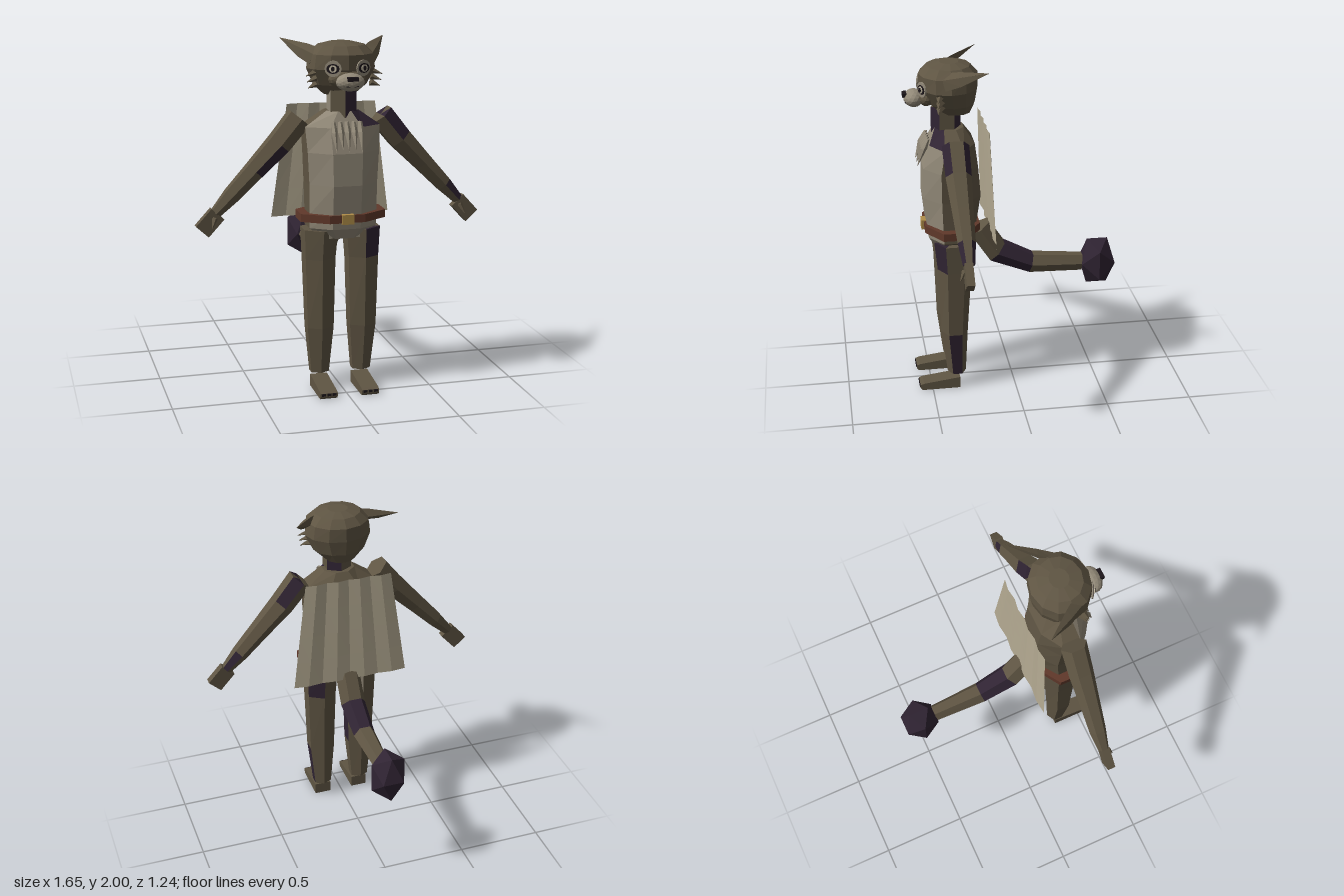
import * as THREE from 'three';

const mat = (name, color, extra = {}) => {
  const m = new THREE.MeshStandardMaterial({ color, flatShading: true, ...extra });
  m.name = name;
  return m;
};

export function createModel() {
  const root = new THREE.Group();
  const fur = mat('fur', 0x5f5543);
  const patch = mat('dark patch', 0x302433);
  const pale = mat('pale fur', 0x938a79);
  const cloth = mat('cape cloth', 0xb3a991, { side: THREE.DoubleSide });
  const leather = mat('belt leather', 0x60382a);
  const brass = mat('brass', 0xb08d48);
  const black = mat('black', 0x1c161a);
  const eyeLight = mat('eye light', 0xc4bba4);
  const V = (x, y, z) => new THREE.Vector3(x, y, z);

  function add(name, geo, material, x = 0, y = 0, z = 0) {
    const mesh = new THREE.Mesh(geo, material);
    mesh.name = name;
    mesh.position.set(x, y, z);
    root.add(mesh);
    return mesh;
  }

  // Faceted tube through rings [x, y, z, radius along ref, radius across].
  // paint(segment, face) gives 0 fur, 1 dark patch, 2 pale fur.
  function loft(name, rings, ref, sides, paint = () => 0, offset = 0, mats = [fur, patch, pale]) {
    const centres = rings.map(r => V(r[0], r[1], r[2]));
    const loops = rings.map((r, i) => {
      const t = centres[Math.min(i + 1, rings.length - 1)].clone()
        .sub(centres[Math.max(i - 1, 0)]).normalize();
      const across = t.clone().cross(ref).normalize();
      return Array.from({ length: sides }, (_, j) => {
        const a = (j + offset) / sides * Math.PI * 2;
        return centres[i].clone().addScaledVector(ref, Math.cos(a) * r[3])
          .addScaledVector(across, Math.sin(a) * (r[4] ?? r[3]));
      });
    });
    const pos = [], geo = new THREE.BufferGeometry();
    const tri = (a, b, c, m) => {
      geo.addGroup(pos.length / 3, 3, m);
      for (const p of [a, b, c]) pos.push(p.x, p.y, p.z);
    };
    const last = rings.length - 1;
    for (let j = 0; j < sides; j++) {
      const k = (j + 1) % sides;
      for (let i = 0; i < last; i++) {
        const m = paint(i, j), lo = loops[i], hi = loops[i + 1];
        tri(lo[j], lo[k], hi[k], m);
        tri(lo[j], hi[k], hi[j], m);
      }
      tri(centres[0], loops[0][k], loops[0][j], paint(0, j));
      tri(centres[last], loops[last][j], loops[last][k], paint(last - 1, j));
    }
    geo.setAttribute('position', new THREE.Float32BufferAttribute(pos, 3));
    geo.computeVertexNormals();
    return add(name, geo, mats);
  }

  const X = V(1, 0, 0), Z = V(0, 0, 1);

  // Torso: pale front panels, furry sides and back
  loft('torso', [
    [0, 0.90, 0.36, 0.11, 0.13], [0, 0.96, 0.36, 0.145, 0.21], [0, 1.04, 0.36, 0.155, 0.21],
    [0, 1.21, 0.355, 0.18, 0.212], [0, 1.39, 0.36, 0.17, 0.222], [0, 1.53, 0.35, 0.14, 0.232],
    [0, 1.615, 0.36, 0.09, 0.1],
  ], Z, 8, (i, j) => (i === 5 && j === 0 ? 1 : j === 0 || j >= 6 ? 2 : 0), 0.5);
  add('pelvis front', new THREE.BoxGeometry(0.18, 0.09, 0.12), pale, 0, 0.945, 0.39);

  // Neck and head
  loft('neck', [[0, 1.58, 0.375, 0.085], [0, 1.73, 0.375, 0.085]], Z, 6,
    (i, j) => (j === 0 || j === 2 ? 1 : j === 4 ? 2 : 0));
  loft('head', [
    [0, 1.70, 0.32, 0.09, 0.09], [0, 1.76, 0.34, 0.135, 0.155], [0, 1.85, 0.357, 0.168, 0.197],
    [0, 1.93, 0.358, 0.168, 0.185], [0, 1.975, 0.355, 0.125, 0.135], [0, 1.993, 0.35, 0.055, 0.06],
  ], Z, 12);

  // Muzzle, nose and mouth
  const ball = (x, y, z) => new THREE.IcosahedronGeometry(1, 2).scale(x, y, z);
  add('muzzle base', ball(0.105, 0.055, 0.05), fur, 0, 1.80, 0.485);
  add('muzzle', ball(0.08, 0.05, 0.058), pale, 0, 1.79, 0.553);
  add('nose', new THREE.BoxGeometry(0.06, 0.022, 0.025), black, 0, 1.812, 0.605);
  add('mouth', new THREE.BoxGeometry(0.07, 0.006, 0.008), black, 0, 1.772, 0.6);

  // Hind tail with a dark band and dark tuft
  loft('tail', [
    [0, 0.98, 0.19, 0.075], [0, 0.82, 0.085, 0.075, 0.078], [0, 0.728, -0.12, 0.065],
    [0, 0.71, -0.43, 0.05, 0.056],
  ], X, 6, i => (i === 1 ? 1 : 0));
  add('tail tuft', new THREE.IcosahedronGeometry(1, 0).rotateY(Math.PI / 2)
    .scale(0.117, 0.169, 0.117), patch, 0, 0.71, -0.524);

  // Belt and buckle
  add('belt', new THREE.CylinderGeometry(1, 1, 0.045, 8).rotateY(Math.PI / 8)
    .scale(0.265, 1, 0.172), leather, 0, 1.023, 0.357);
  add('buckle', new THREE.BoxGeometry(0.068, 0.055, 0.03), brass, 0, 1.023, 0.517);

  // Cape: a flared, lightly pleated sheet
  const cape = new THREE.PlaneGeometry(2, 1, 8, 4);
  const p = cape.attributes.position;
  for (let i = 0; i < p.count; i++) {
    const u = p.getX(i), t = p.getY(i) + 0.5;
    const pleat = Math.cos(u * Math.PI * 4) * 0.005;
    p.setXYZ(i, u * (0.35 - 0.09 * t), 0.97 + 0.655 * t, 0.13 + 0.024 * t + pleat);
  }
  cape.computeVertexNormals();
  add('cape', cape, cloth);

  // Chest ruff of pointed tufts
  for (let i = -2; i <= 2; i++) {
    const drop = i % 2 ? 1.42 : 1.405;
    loft('chest tuft', [[i * 0.038, 1.565, 0.485, 0.01, 0.012],
      [i * 0.038, 1.51, 0.51, 0.02, 0.018], [i * 0.036, drop, 0.548, 0.001]], Z, 4, () => 2);
  }

  for (const s of [1, -1]) {
    const side = s > 0 ? 'left' : 'right';

    // Ears sweep out and back
    loft(side + ' ear', [
      [s * 0.15, 1.915, 0.39, 0.055, 0.03], [s * 0.205, 1.945, 0.31, 0.045, 0.022],
      [s * 0.3, 2.0, 0.165, 0.001],
    ], V(s * 0.66, -0.75, 0), 4);

    // Cheek tufts
    for (let i = 0; i < 3; i++) {
      const y = 1.835 - i * 0.033;
      loft(side + ' cheek tuft', [[s * 0.155, y, 0.415, 0.026, 0.02],
        [s * (0.217 - i * 0.006), y - 0.02, 0.435, 0.001]], Z, 4);
    }

    // Eyes from stacked thin discs
    const eye = new THREE.Group();
    eye.name = side + ' eye';
    eye.position.set(s * 0.085, 1.86, 0.512);
    eye.rotation.y = s * 0.4;
    [[0.047, 0.045, pale], [0.036, 0.027, black], [0.021, 0.02, eyeLight], [0.01, 0.013, black]]
      .forEach(([rx, ry, m], i) => {
        const disc = new THREE.Mesh(new THREE.CylinderGeometry(1, 1, 0.008, 12)
          .rotateX(Math.PI / 2).scale(rx, ry, 1), m);
        disc.name = ['eye patch', 'eyelid', 'iris', 'pupil'][i];
        disc.position.z = i * 0.004;
        eye.add(disc);
      });
    root.add(eye);

    // Arms
    const armPaint = s > 0
      ? (i, j) => ((i === 0 || i === 3) && (j === 3 || j === 5) ? 1 : 0)
      : (i, j) => (i === 1 && j === 5 ? 1 : 0);
    loft(side + ' arm', [
      [s * 0.235, 1.575, 0.347, 0.077], [s * 0.35, 1.435, 0.345, 0.073],
      [s * 0.49, 1.29, 0.342, 0.06], [s * 0.62, 1.155, 0.338, 0.05], [s * 0.71, 1.06, 0.338, 0.033],
    ], Z, 6, armPaint);

    // Hands with a small thumb
    const hand = add(side + ' hand', new THREE.BoxGeometry(0.095, 0.13, 0.046), fur, s * 0.745, 1.01, 0.342);
    hand.rotation.z = s * 0.74;
    loft(side + ' thumb', [[s * 0.715, 1.04, 0.36, 0.018], [s * 0.738, 0.985, 0.388, 0.003]], Z, 4);

    // Legs
    const legPaint = s > 0
      ? (i, j) => ((i === 0 && j === 1) || (i === 2 && (j === 0 || j === 2)) ? 1 : 0)
      : (i, j) => (i === 1 && j === 1 ? 1 : i === 2 && j === 2 ? 2 : 0);
    loft(side + ' leg', [
      [s * 0.123, 0.095, 0.35, 0.055, 0.06], [s * 0.125, 0.37, 0.36, 0.08, 0.088],
      [s * 0.126, 0.775, 0.352, 0.1, 0.1], [s * 0.122, 0.945, 0.353, 0.115, 0.112],
    ], Z, 6, legPaint);

    // Feet and claws
    const sole = new THREE.Shape([[0.335, 0], [0.565, 0], [0.576, 0.014], [0.576, 0.034], [0.555, 0.042],
      [0.335, 0.07]].map(q => new THREE.Vector2(...q)));
    add(side + ' foot', new THREE.ExtrudeGeometry(sole, { depth: 0.1, bevelEnabled: false })
      .translate(0, 0, -0.05).rotateY(-Math.PI / 2), fur, s * 0.122, 0, 0);
    for (let i = -1; i <= 1; i++)
      add(side + ' claw', new THREE.BoxGeometry(0.022, 0.014, 0.008), black, s * 0.122 + i * 0.031, 0.026, 0.576);
  }
  return root;
}
